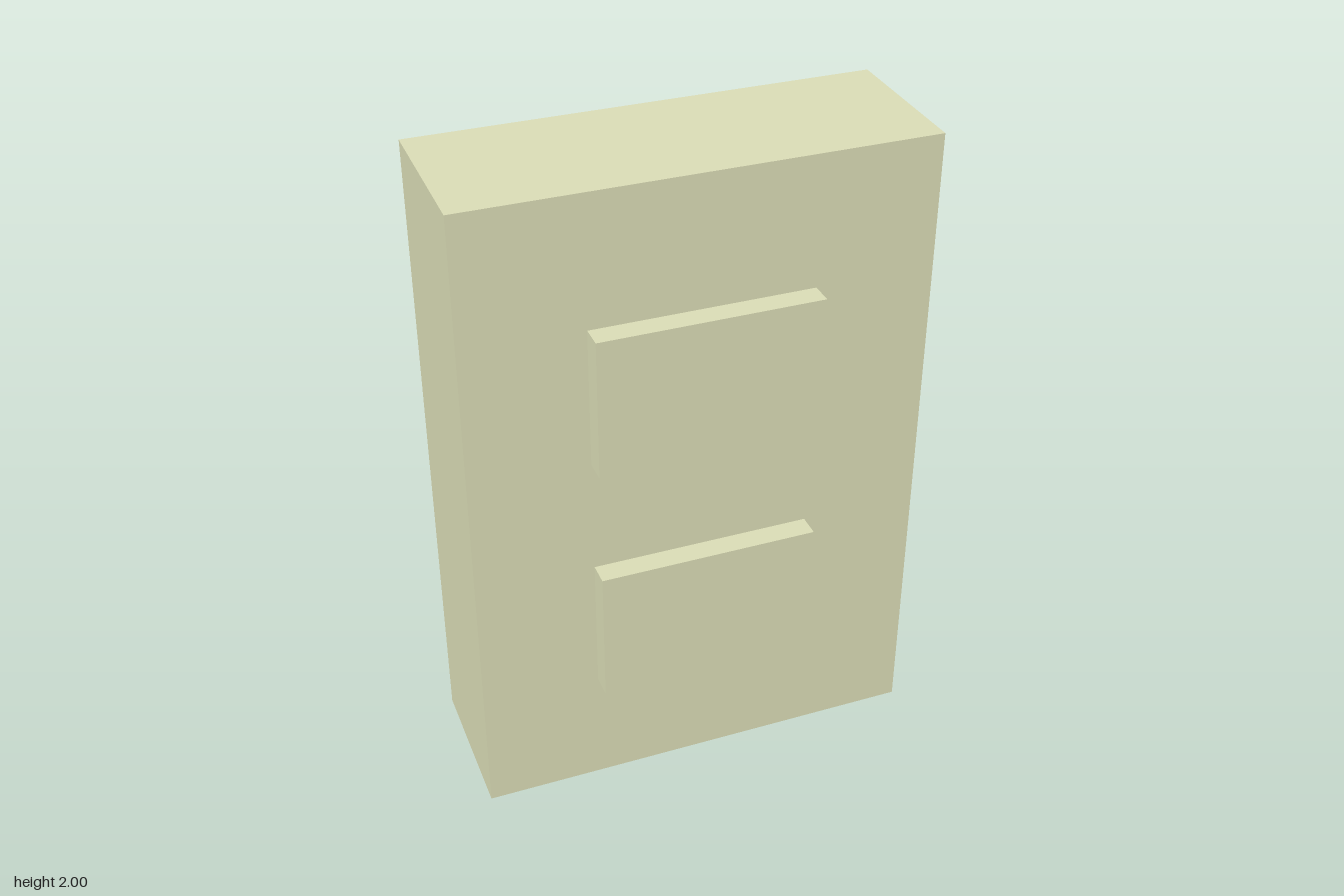
import * as THREE from 'three';

const bodyMaterial = new THREE.MeshStandardMaterial({ color: 0xd9dbb5 });
const bracketMaterial = new THREE.MeshStandardMaterial({ color: 0xd1dbbd });

// Box given by its extents along each axis
function block(name, [x0, x1], [y0, y1], [z0, z1], material) {
  const mesh = new THREE.Mesh(new THREE.BoxGeometry(x1 - x0, y1 - y0, z1 - z0), material);
  mesh.position.set((x0 + x1) / 2, (y0 + y1) / 2, (z0 + z1) / 2);
  mesh.name = name;
  return mesh;
}

export function createModel() {
  const group = new THREE.Group();
  group.name = 'panelBlock';

  // Upright slab
  group.add(block('body', [-0.68, 0.68], [0.026, 2], [-0.223, 0.246], bodyMaterial));

  // Two raised panels on the front
  const panels = { lowerPanel: 0.4, upperPanel: 1.18 };
  for (const [name, y] of Object.entries(panels)) {
    group.add(block(name, [-0.327, 0.327], [y, y + 0.425], [0.23, 0.315], bodyMaterial));
  }

  // Rear block set into the slab, standing slightly below it
  group.add(block('rearFoot', [-0.122, 0.122], [0, 0.423], [-0.315, -0.035], bracketMaterial));

  return group;
}
